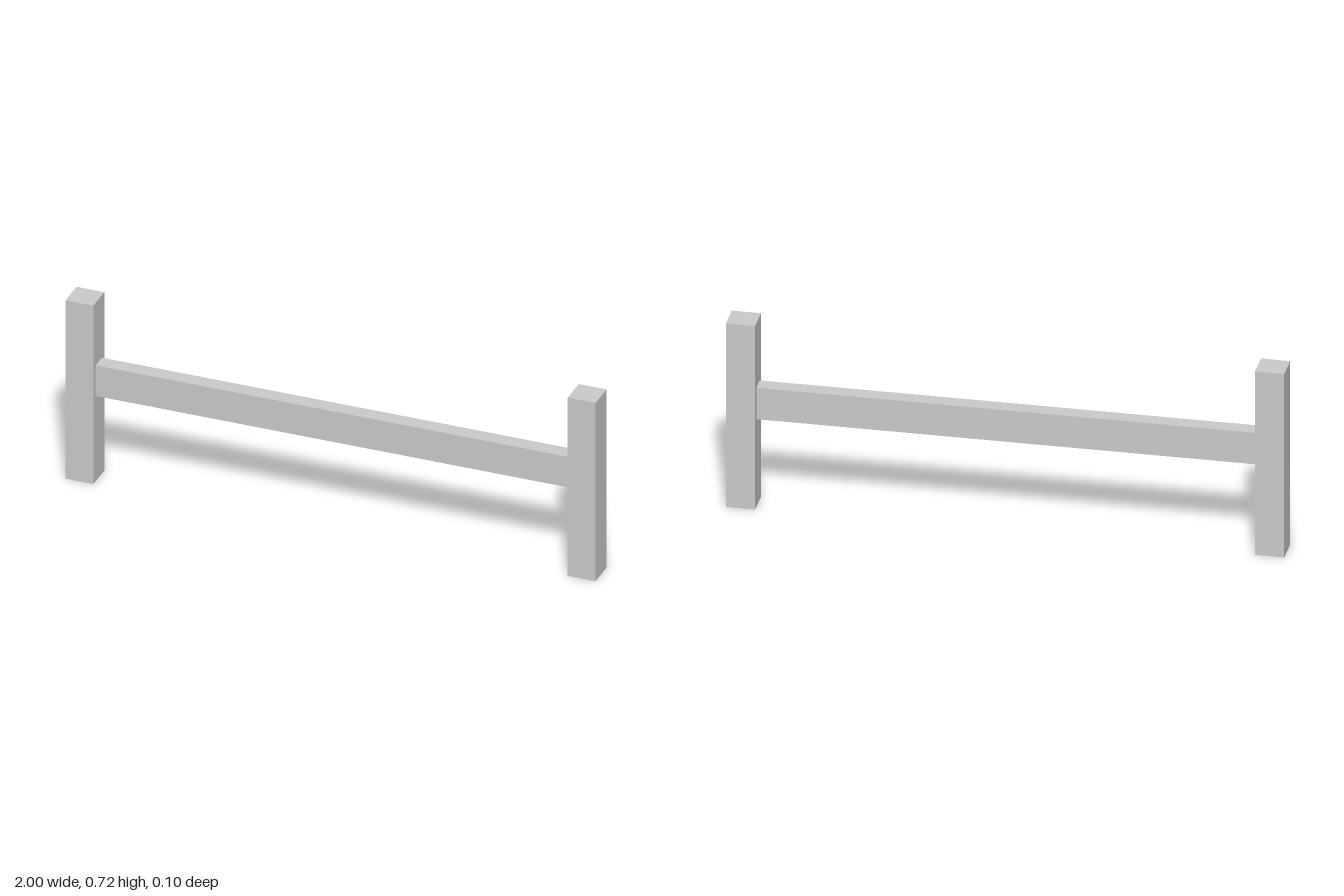
import * as THREE from 'three';

const HEIGHT = 0.717;
const POST = 0.105;

export function createModel() {
  const group = new THREE.Group();
  group.name = 'railFence';
  const material = new THREE.MeshStandardMaterial({ color: 0xcccccc });

  const addBox = (name, w, h, d, x, y) => {
    const mesh = new THREE.Mesh(new THREE.BoxGeometry(w, h, d), material);
    mesh.name = name;
    mesh.position.set(x, y, 0);
    group.add(mesh);
  };

  // Square posts at both ends
  for (const [name, side] of [['leftPost', 1], ['rightPost', -1]]) {
    addBox(name, POST, HEIGHT, POST, side * (1 - POST / 2), HEIGHT / 2);
  }

  // Crossbar butting against the inner faces of the posts
  addBox('crossbar', 2 - 2 * POST, 0.123, 0.06, 0, 0.404);

  return group;
}
